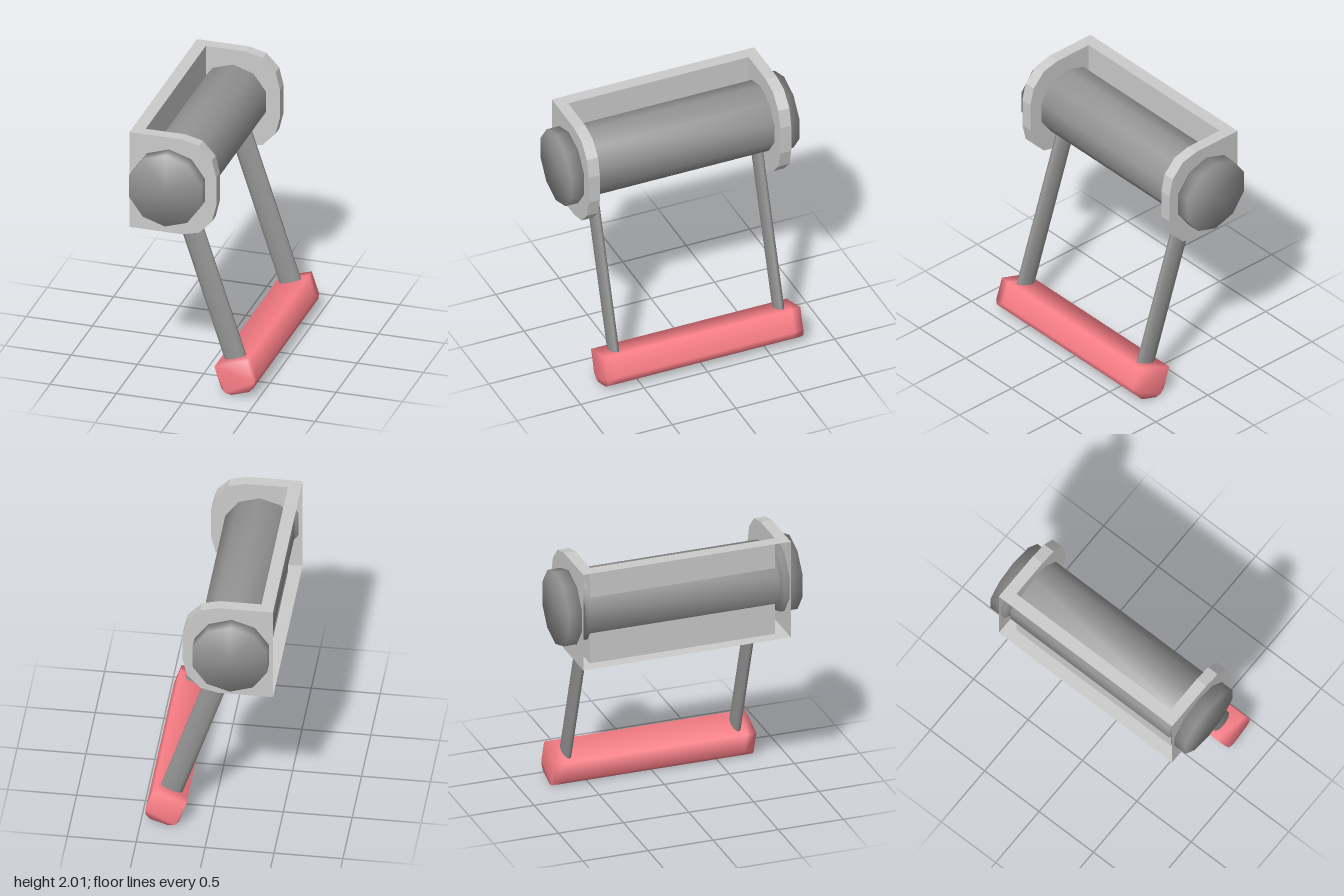
import * as THREE from 'three';
import { mergeVertices, mergeGeometries } from 'three/addons/utils/BufferGeometryUtils.js';

const PIVOT = [-0.165, 1.62];
const TILT = 0.318;
const mat = (color) => new THREE.MeshStandardMaterial({ color, side: THREE.DoubleSide });

// Shares vertices so shading flows across every edge
function smooth(geo) {
  geo.deleteAttribute('normal');
  geo.deleteAttribute('uv');
  const g = mergeVertices(geo, 1e-4);
  g.computeVertexNormals();
  return g;
}

function part(name, geo, material, parent) {
  const m = new THREE.Mesh(geo, material);
  m.name = name;
  parent.add(m);
  return m;
}

// Flat quad swept along z over the edge a-b
function strip(a, b, z0, z1) {
  const c = [[a, z0], [b, z0], [b, z1], [a, z0], [b, z1], [a, z1]];
  const g = new THREE.BufferGeometry();
  g.setAttribute('position', new THREE.Float32BufferAttribute(c.flatMap(([p, z]) => [...p, z]), 3));
  g.computeVertexNormals();
  return g;
}

// Plate face at depth z, facing +z or -z
function face(points, z, dir) {
  const g = new THREE.ShapeGeometry(new THREE.Shape(points.map((p) => new THREE.Vector2(...p))));
  if (dir < 0) {
    g.scale(-1, 1, 1).rotateY(Math.PI);
    const ix = g.index.array;
    // mirrored then turned: swap the winding so the face looks along -z
    for (let i = 0; i < ix.length; i += 3) [ix[i], ix[i + 1]] = [ix[i + 1], ix[i]];
    g.computeVertexNormals();
  }
  g.translate(0, 0, z);
  const flat = g.toNonIndexed();
  flat.deleteAttribute('uv');
  return flat;
}

function bracketGeometry() {
  const back = -0.465, inner = -0.37, bottom = 1.24, top = 2, zi = 0.71, zo = 0.797;
  const nose = [
    [-0.07, bottom], [0.06, 1.272], [0.157, 1.375], [0.19, 1.51],
    [0.19, 1.73], [0.157, 1.865], [0.06, 1.968], [-0.07, top],
  ];
  const rim = [[inner, bottom], ...nose, [inner, top]];
  const outline = [[back, bottom], ...nose, [back, top]];
  const pieces = [
    // wall panel with its lower and upper lips, open behind
    strip([inner, bottom], [inner, top], -zi, zi),
    strip([back, bottom], [inner, bottom], -zo, zo),
    strip([inner, top], [back, top], -zo, zo),
  ];
  for (const s of [-1, 1]) {
    pieces.push(face(outline, s * zo, s), face(rim, s * zi, -s));
    for (let i = 0; i < rim.length - 1; i++) {
      pieces.push(strip(rim[i], rim[i + 1], s > 0 ? zi : -zo, s > 0 ? zo : -zi));
    }
  }
  return mergeGeometries(pieces);
}

export function createModel() {
  const root = new THREE.Group();
  root.name = 'rollerHandle';
  const light = mat(0xcccccc), dark = mat(0x949494), red = mat(0xfd7f88);

  part('bracket', bracketGeometry(), light, root);

  // Roller and end knobs on the pivot axis
  const drum = (r, length) => smooth(new THREE.CylinderGeometry(r, r, length, 10).rotateX(Math.PI / 2));
  part('roller', drum(0.262, 1.46), dark, root).position.set(...PIVOT, 0);
  for (const s of [-1, 1]) {
    part(s > 0 ? 'frontKnob' : 'backKnob', drum(0.285, 0.13), dark, root).position.set(...PIVOT, s * 0.833);
  }

  // Swinging handle, hung from the pivot
  const handle = new THREE.Group();
  handle.name = 'handle';
  handle.position.set(...PIVOT, 0);
  handle.rotation.z = TILT;
  root.add(handle);

  const armGeo = smooth(new THREE.CylinderGeometry(1, 1, 1.5, 10).scale(0.086, 1, 0.033));
  for (const s of [-1, 1]) {
    part(s > 0 ? 'frontArm' : 'backArm', armGeo, dark, handle).position.set(0, -0.77, s * 0.65);
  }

  // Grip: flat top, rounded lower corners
  const half = [[0.128, -1.45], [0.128, -1.625], [0.112, -1.665], [0.07, -1.688]];
  const section = [...half, ...half.map(([x, y]) => [-x, y]).reverse()];
  const gripGeo = new THREE.ExtrudeGeometry(
    new THREE.Shape(section.map((p) => new THREE.Vector2(...p))),
    { depth: 1.54, steps: 22, bevelEnabled: false },
  ).translate(0, 0, -0.77);
  part('grip', smooth(gripGeo), red, handle);

  return root;
}
